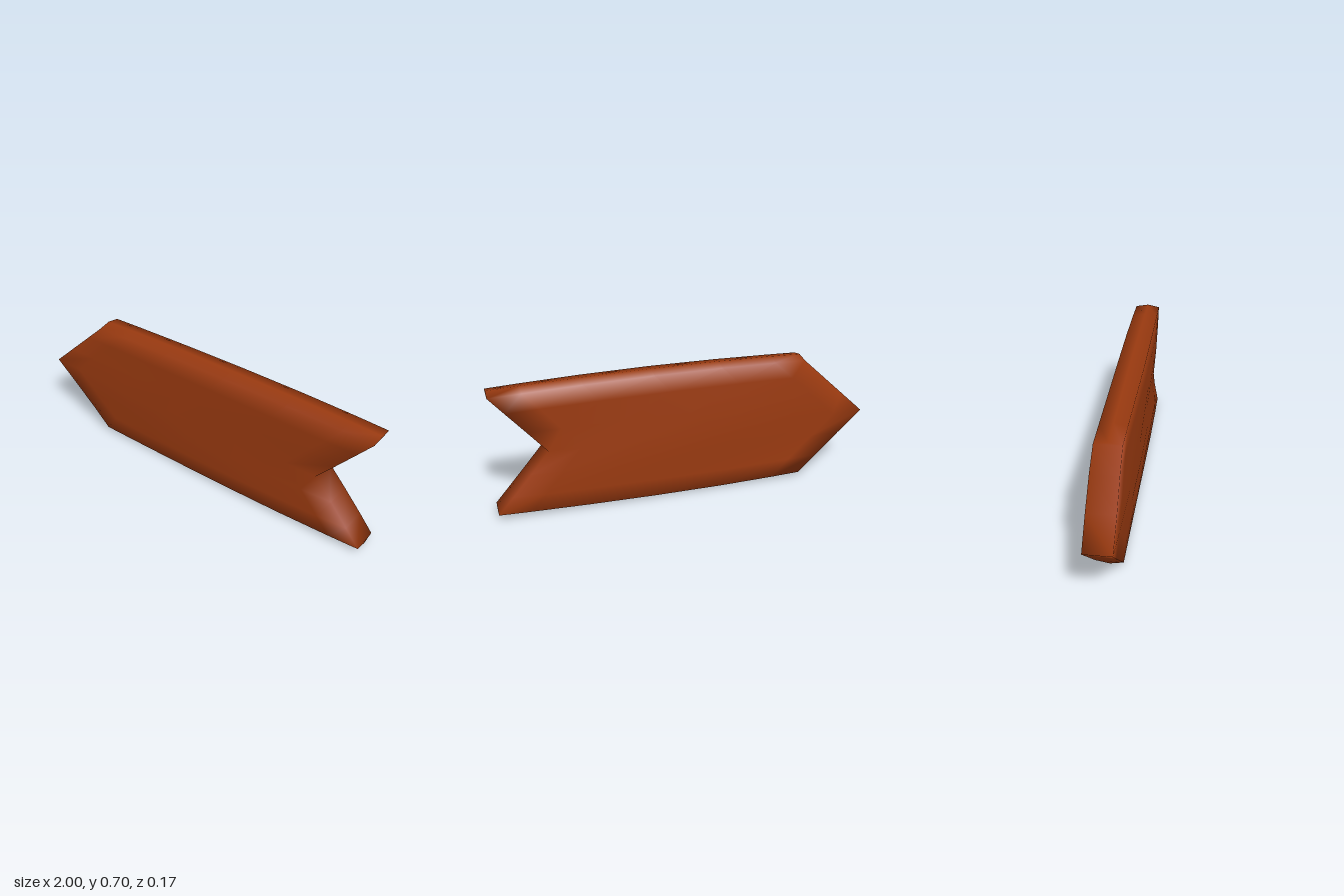
import * as THREE from 'three';

// Thick wooden arrow-shaped sign board: pointed on -x, notched on +x, softly shaded edges.
export function createModel() {
  const wood = new THREE.MeshStandardMaterial({ color: 0x9a3a10 });
  wood.name = 'reddish brown wood';

  const cols = [0, 0.1, 0.28, 0.5, 0.72, 0.9, 1]; // along the board
  const rows = [-1, -0.72, -0.36, 0, 0.36, 0.72, 1]; // bottom to top
  const R = rows.length, N = 2 * R + 2, C = cols.length;
  const positions = [], index = [];

  // Half height of the board along its length, slightly bowed
  const halfHeight = (u) => 0.352 - 0.06 * (u - 0.4) ** 2;

  function addPoint(u, s, side) {
    const a = Math.abs(s);
    const left = -1 + 0.36 * a;
    const right = 0.73 + 0.27 * a;
    const half = halfHeight(u) - (side === 0 ? 0 : 0.013);
    // Faces swell a little in the middle and have a hand-cut unevenness
    const swell = 0.068 + 0.009 * (1 - s * s) * Math.sin(Math.PI * u) + 0.004 * Math.sin(Math.PI * u);
    const wobble = 0.003 * Math.sin(5 * u + 4 * s + side);
    positions.push(left + (right - left) * u, 0.352 + s * half, side * (swell + wobble));
  }

  // Closed cross-sections: up the front, over the top ridge, down the back, under the bottom ridge
  for (const u of cols) {
    for (const s of rows) addPoint(u, s, 1);
    addPoint(u, 1, 0);
    for (const s of [...rows].reverse()) addPoint(u, s, -1);
    addPoint(u, -1, 0);
  }

  // Walls between neighbouring sections
  for (let i = 0; i < C - 1; i++) {
    for (let k = 0; k < N; k++) {
      const n = (k + 1) % N;
      const a = i * N + k, b = a + N, d = i * N + n, c = d + N;
      index.push(a, b, c, a, c, d);
    }
  }

  // End caps: the pointed tip (left) and the notch (right)
  function cap(base, flip) {
    const tri = (a, b, c) => index.push(base + a, base + (flip ? c : b), base + (flip ? b : c));
    for (let j = 0; j < R - 1; j++) {
      tri(j, 2 * R - j, 2 * R - j - 1);
      tri(j, 2 * R - j - 1, j + 1);
    }
    tri(R - 1, R + 1, R);
    tri(0, 2 * R + 1, 2 * R);
  }
  cap(0, true);
  cap((C - 1) * N, false);

  const geometry = new THREE.BufferGeometry();
  geometry.setAttribute('position', new THREE.Float32BufferAttribute(positions, 3));
  geometry.setIndex(index);
  geometry.computeVertexNormals();

  const board = new THREE.Mesh(geometry, wood);
  board.name = 'arrowBoard';
  const model = new THREE.Group();
  model.name = 'arrowSign';
  model.add(board);
  return model;
}
